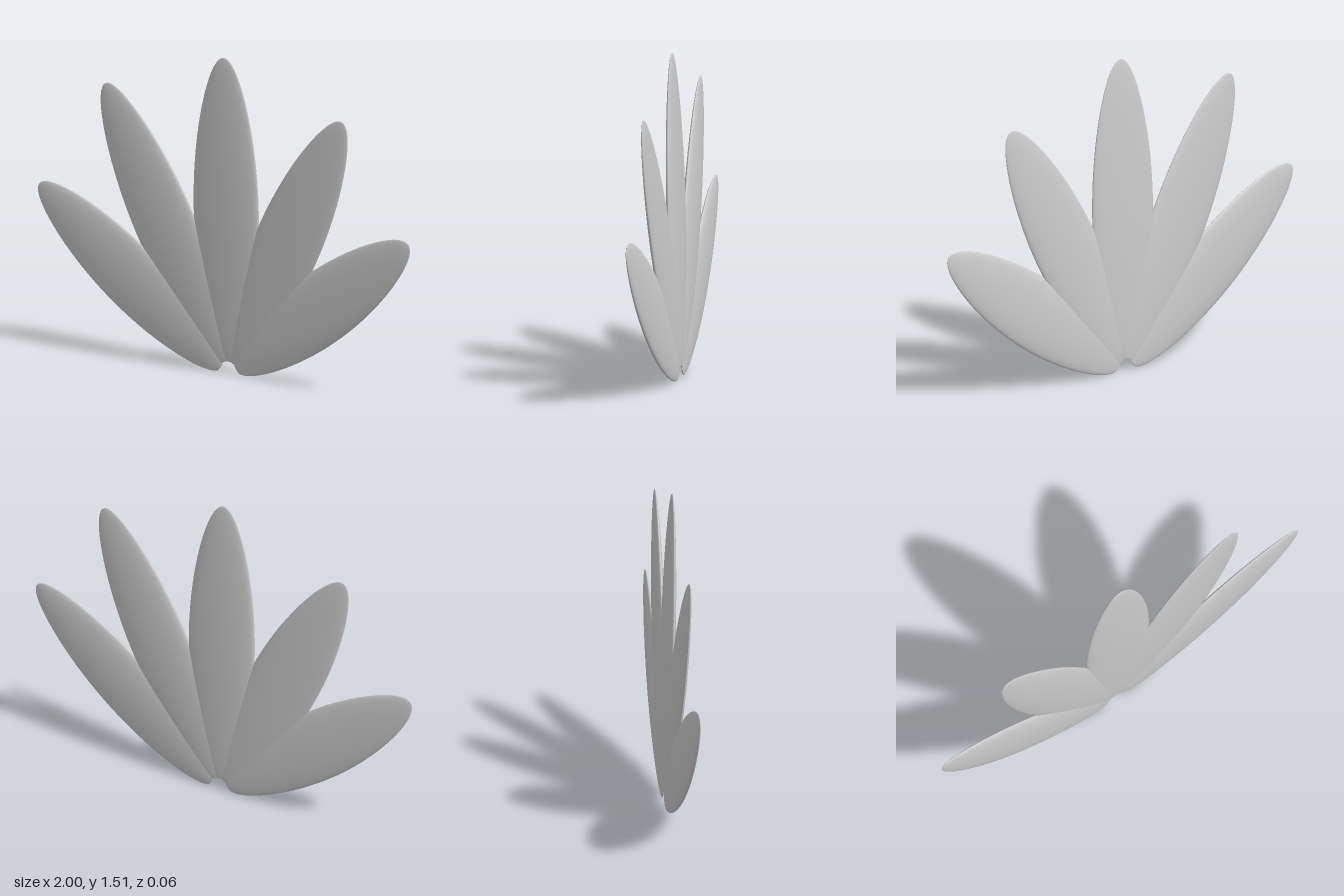
import * as THREE from 'three';

const petalGrey = new THREE.MeshStandardMaterial({ color: 0xcccccc });
petalGrey.name = 'petalGrey';

// Flattened lens-like petal, slightly slimmer at the ends, with a blunt base,
// leaning forward from base to tip.
function petalGeometry(halfLength, halfWidth) {
  const halfDepth = 0.025, lean = 0.02;
  const g = new THREE.SphereGeometry(1, 48, 40);
  const p = g.attributes.position;
  for (let i = 0; i < p.count; i++) {
    const u = Math.max(p.getY(i), -0.988);
    const slim = 1 - 0.14 * u * u;
    p.setXYZ(
      i,
      p.getX(i) * slim * halfWidth,
      u * halfLength,
      p.getZ(i) * slim * halfDepth + u * lean
    );
  }
  g.computeVertexNormals();
  return g;
}

export function createModel() {
  const group = new THREE.Group();
  group.name = 'petalFan';

  function addPetal(name, side, [x, y], degrees, halfLength, halfWidth) {
    const petal = new THREE.Mesh(petalGeometry(halfLength, halfWidth), petalGrey);
    petal.name = name;
    petal.position.set(side * x, y, 0);
    petal.rotation.z = -side * THREE.MathUtils.degToRad(degrees);
    group.add(petal);
  }

  // Upright petal in the middle
  addPetal('centrePetal', 1, [0, 0.782], 0, 0.733, 0.175);

  // Mirrored pairs fanning out to the sides
  for (const [label, side] of [['left', 1], ['right', -1]]) {
    addPetal(label + 'UpperPetal', side, [0.33, 0.672], 26, 0.70, 0.168);
    addPetal(label + 'LowerPetal', side, [0.516, 0.395], 51.8, 0.607, 0.164);
  }
  return group;
}
